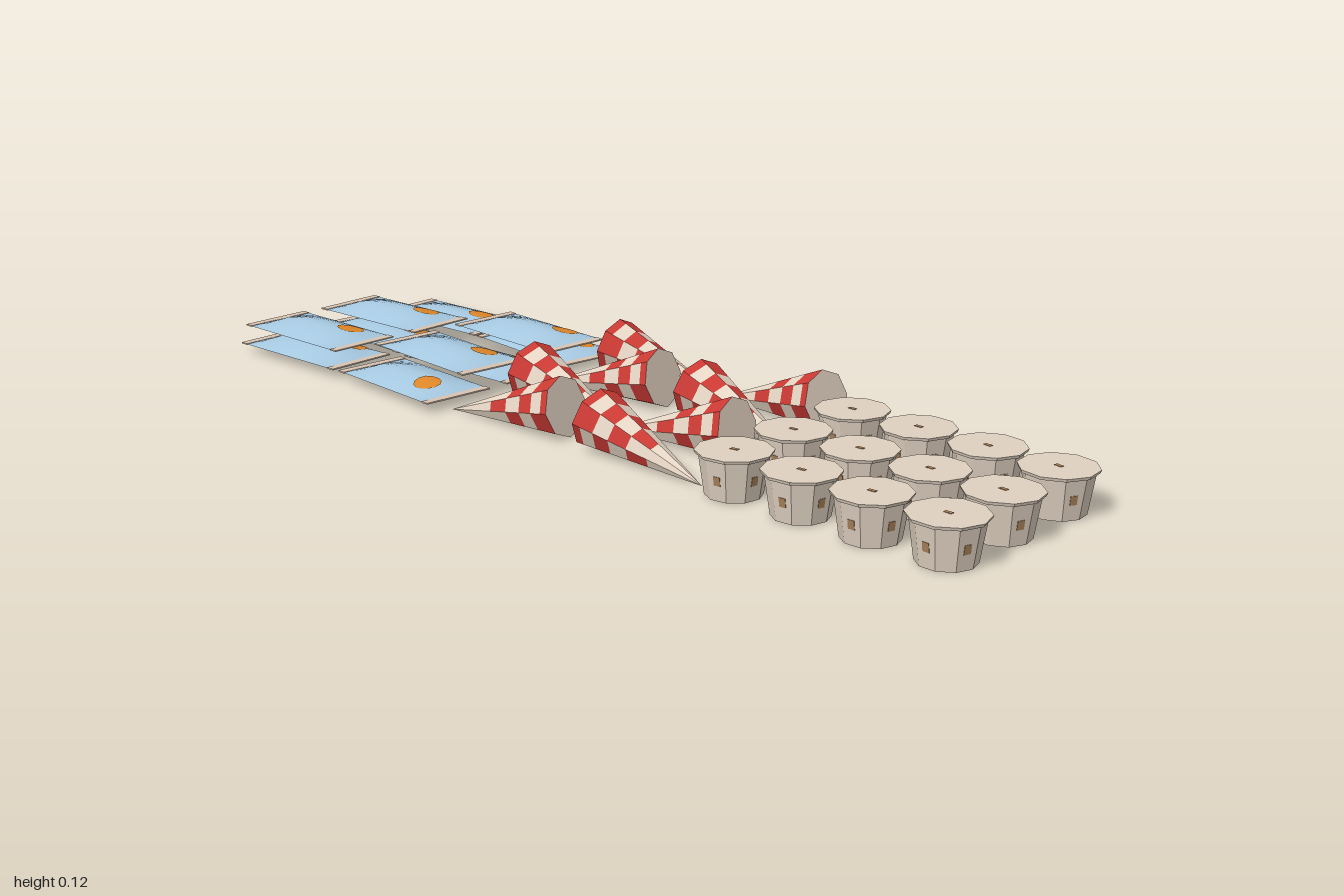
import * as THREE from 'three';

const mat = (name, color, side = THREE.FrontSide) => {
  const m = new THREE.MeshStandardMaterial({ color, side });
  m.name = name;
  return m;
};

// Flat-shaded geometry from a list of convex polygons
function facets(polys) {
  const pos = [];
  for (const p of polys)
    for (let i = 1; i < p.length - 1; i++) pos.push(...p[0], ...p[i], ...p[i + 1]);
  const g = new THREE.BufferGeometry();
  g.setAttribute('position', new THREE.Float32BufferAttribute(pos, 3));
  g.computeVertexNormals();
  return g;
}

// Height of the puffed packet over its middle plane
const HX = 0.145, HZ = 0.082;
const puff = (x, z) =>
  0.021 * (1 - Math.min(1, Math.abs(x / HX)) ** 3) * (1 - Math.min(1, Math.abs(z / HZ)) ** 1.5);

// Lay a flat geometry on the puffed surface
function drape(geometry, x, z, lift) {
  geometry.rotateX(-Math.PI / 2).translate(x, 0, z);
  const p = geometry.attributes.position;
  for (let i = 0; i < p.count; i++) p.setY(i, puff(p.getX(i), p.getZ(i)) + lift);
  geometry.computeVertexNormals();
  return geometry;
}

// Cone lying on its side with the tip at the origin, split by colour
function coneGeometries() {
  const L = 0.308, R = 0.063, sides = 8, tilt = Math.atan2(R, L);
  const c = Math.cos(tilt), s = Math.sin(tilt);
  const point = (t, j) => {
    const a = (j / sides) * Math.PI * 2;
    const u = R * t * Math.cos(a);
    return [L * t * c - u * s, L * t * s + u * c, R * t * Math.sin(a)];
  };
  const rows = [0, 0.42, 0.58, 0.72, 0.84, 0.94, 1];
  const red = [], cream = [], cap = [];
  for (let j = 0; j < sides; j++) {
    for (let i = 0; i < rows.length - 1; i++) {
      const [t0, t1] = [rows[i], rows[i + 1]];
      const isRed = i === rows.length - 2 || (i > 0 && (i + j) % 2 === 0);
      const face = [point(t0, j), point(t0, j + 1), point(t1, j + 1), point(t1, j)];
      (isRed ? red : cream).push(i === 0 ? [face[0], face[2], face[3]] : face);
    }
    cap.push(point(1, j));
  }
  return { red: facets(red), cream: facets(cream), cap: facets([cap]) };
}

export function createModel() {
  const model = new THREE.Group();
  const blue = mat('wrapper blue', 0xa6c9e1);
  const orange = mat('spot orange', 0xe0882a);
  const crimpTan = mat('crimp tan', 0xd8c3b0);
  const red = mat('check red', 0xcc3a34);
  const cream = mat('paper cream', 0xe8d7c6);
  const cupMat = mat('cup beige', 0xe0d1c1, THREE.DoubleSide);
  const brown = mat('label brown', 0xa9825a);
  cupMat.flatShading = true;

  const add = (parent, name, geometry, material, x = 0, y = 0, z = 0) => {
    const m = new THREE.Mesh(geometry, material);
    m.name = name;
    m.position.set(x, y, z);
    parent.add(m);
    return m;
  };
  const addGroup = (name, x, y, z, yaw) => {
    const g = new THREE.Group();
    g.name = name;
    g.position.set(x, y, z);
    g.rotation.y = yaw;
    model.add(g);
    return g;
  };

  // Wrapped packets: three below, two on top in each column [x, layer, z, yaw, spot z]
  const pillow = drape(new THREE.PlaneGeometry(HX * 2, HZ * 2, 10, 8), 0, 0, 0);
  const crimp = new THREE.BoxGeometry(0.02, 0.003, 0.164);
  const packets = [
    [-0.83, 0, -0.203, 0.05, -0.02], [-0.835, 0, 0, -0.04, -0.03], [-0.835, 0, 0.2, 0.04, -0.05],
    [-0.83, 1, -0.025, 0.05, -0.03], [-0.83, 1, 0.19, 0.02, -0.028],
    [-0.485, 0, -0.195, -0.1, -0.035], [-0.485, 0, 0.005, 0.05, -0.02], [-0.485, 0, 0.2, -0.06, 0.02],
    [-0.485, 1, -0.135, -0.05, -0.042], [-0.485, 1, 0.1, -0.07, -0.038],
  ];
  for (const [x, layer, z, yaw, spotZ] of packets) {
    const g = addGroup('packet', x, 0.021 + layer * 0.041, z, yaw);
    add(g, 'wrapperTop', pillow, blue);
    add(g, 'wrapperBottom', pillow, blue).rotation.x = Math.PI;
    add(g, 'spot', drape(new THREE.RingGeometry(0, 0.03, 12, 3), 0.08, spotZ, 0.002), orange);
    for (const side of [-1, 1]) add(g, 'crimpedEnd', crimp, crimpTan, side * 0.153, 0, 0);
  }

  // Checked paper cones [tipX, tipZ, direction to base x, z]
  const cone = coneGeometries();
  const cones = [
    [0.035, -0.22, -53, 4], [0.025, -0.22, 58, 3],
    [-0.315, -0.046, 57, -8], [0.375, -0.05, -56, -8],
    [0.035, 0.078, -54, -4], [0.02, 0.09, 55, -6],
    [-0.315, 0.235, 56, -8], [0.378, 0.218, -56, -4],
  ];
  for (const [x, z, dx, dz] of cones) {
    const g = addGroup('cone', x, 0, z, Math.atan2(-dz, dx));
    add(g, 'coneChecks', cone.red, red);
    add(g, 'conePaper', cone.cream, cream);
    add(g, 'coneLid', cone.cap, cream);
  }

  // Tubs open underneath, with a slightly wider lid and small plain labels
  const cup = new THREE.CylinderGeometry(0.067, 0.055, 0.08, 10, 1, true).rotateY(Math.PI / 10);
  const lid = new THREE.CylinderGeometry(0.075, 0.073, 0.006, 10).rotateY(Math.PI / 10);
  const lidLabel = new THREE.BoxGeometry(0.016, 0.001, 0.008);
  const sideLabel = new THREE.BoxGeometry(0.014, 0.018, 0.001)
    .rotateX(0.142).translate(0, 0.04, 0.0585);
  [-0.137, 0.04, 0.206].forEach((z, row) => {
    [0.446, 0.605, 0.762, 0.918].forEach((x, col) => {
      const g = addGroup('cup', x, 0, z + (col === 3 ? 0.007 - row * 0.006 : 0), row * 0.08 - col * 0.06);
      add(g, 'cupBody', cup, cupMat, 0, 0.04, 0);
      add(g, 'cupLid', lid, cupMat, 0, 0.083, 0);
      add(g, 'lidLabel', lidLabel, brown, 0, 0.0865, 0);
      for (const turn of [0, 2]) add(g, 'sideLabel', sideLabel, brown).rotation.y = turn * Math.PI / 5;
    });
  });

  return model;
}
